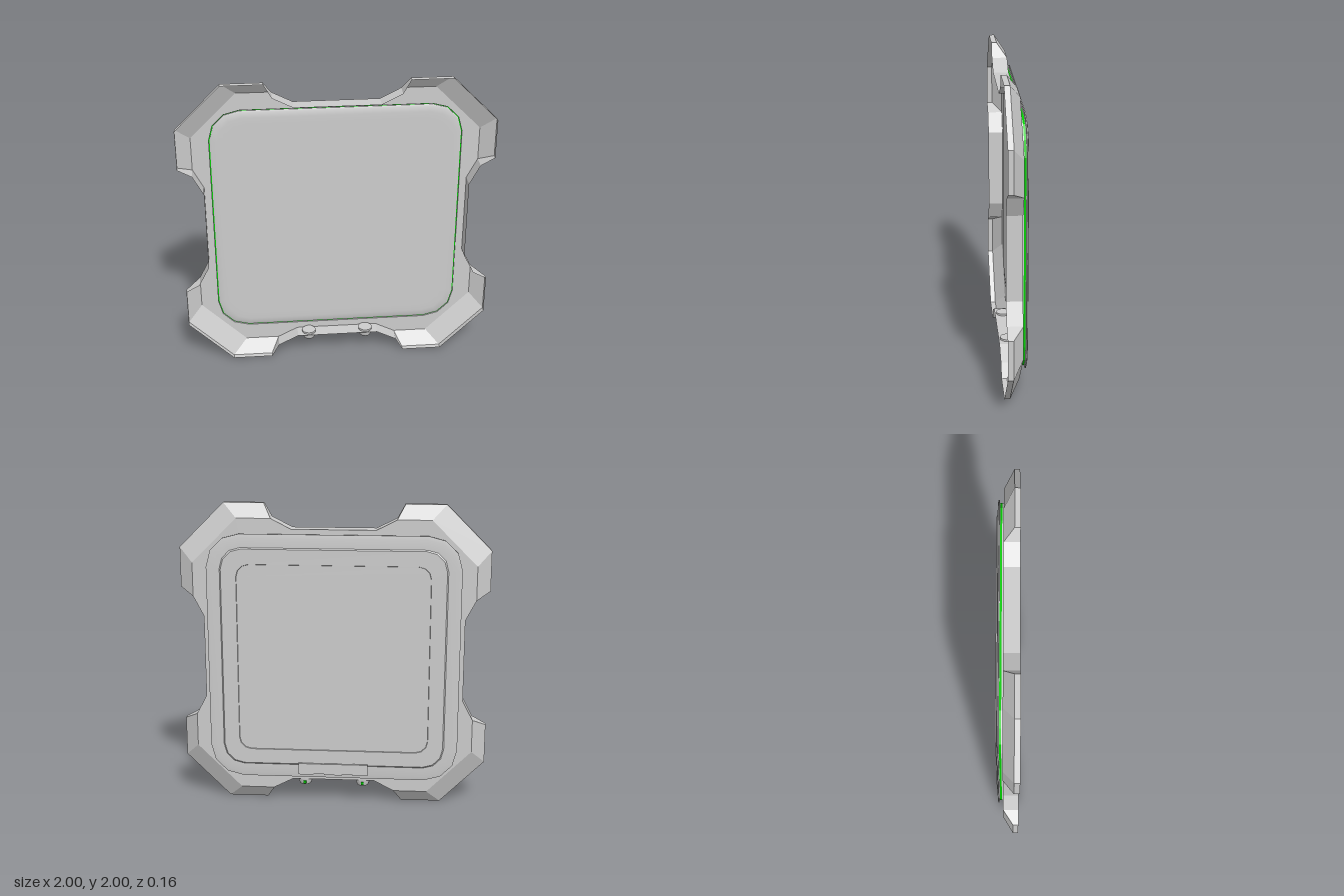
import * as THREE from 'three';
import { toCreasedNormals } from 'three/addons/utils/BufferGeometryUtils.js';

const MID = 1; // height of the centre

// Points of a rounded square, counter-clockwise seen from +z
function roundedSquare(half, radius, segments = 3) {
  const points = [];
  for (let q = 0; q < 4; q++) {
    const cx = (q === 0 || q === 3 ? 1 : -1) * (half - radius);
    const cy = (q < 2 ? 1 : -1) * (half - radius);
    for (let i = 0; i <= segments; i++) {
      const a = (q + i / segments) * Math.PI / 2;
      points.push(new THREE.Vector2(cx + radius * Math.cos(a), cy + radius * Math.sin(a)));
    }
  }
  return points;
}

// Skin between rings running towards -z, with optional end caps
function loft(rings, capStart = false, capEnd = false) {
  const pos = [];
  const add = (ring, i) => {
    const p = ring.points[i % ring.points.length];
    pos.push(p.x, p.y, ring.z);
  };
  for (let r = 0; r < rings.length - 1; r++) {
    const a = rings[r], b = rings[r + 1];
    for (let i = 0; i < a.points.length; i++) {
      add(a, i); add(b, i); add(a, i + 1);
      add(a, i + 1); add(b, i); add(b, i + 1);
    }
  }
  const cap = (ring, flip) => {
    for (let i = 1; i < ring.points.length - 1; i++) {
      add(ring, 0);
      add(ring, flip ? i + 1 : i);
      add(ring, flip ? i : i + 1);
    }
  };
  if (capStart) cap(rings[0], false);
  if (capEnd) cap(rings[rings.length - 1], true);
  const g = new THREE.BufferGeometry();
  g.setAttribute('position', new THREE.Float32BufferAttribute(pos, 3));
  g.computeVertexNormals();
  return g;
}

// Repeat one quadrant of an outline around the centre
function fourfold(quadrant) {
  const points = [];
  for (let q = 0; q < 4; q++) {
    for (const [x, y] of quadrant) {
      points.push(new THREE.Vector2(x, y).rotateAround(new THREE.Vector2(), q * Math.PI / 2));
    }
  }
  return points;
}

export function createModel() {
  const model = new THREE.Group();
  const grey = new THREE.MeshStandardMaterial({ color: 0xcccccc, side: THREE.DoubleSide });
  grey.name = 'grey';
  const green = new THREE.MeshStandardMaterial({ color: 0x00cc00, side: THREE.DoubleSide });
  green.name = 'green';
  const add = (name, geometry, material, x = 0, y = MID, z = 0) => {
    const mesh = new THREE.Mesh(geometry, material);
    mesh.name = name;
    mesh.position.set(x, y, z);
    model.add(mesh);
  };
  const ring = (half, radius, z) => ({ points: roundedSquare(half, radius), z });

  // Open frame shell with four flared corners
  const rim = fourfold([[0.843, 0.27], [0.91, 0.4], [1, 0.45], [1, 0.71],
    [0.71, 1], [0.45, 1], [0.4, 0.91], [0.27, 0.843]]);
  const base = fourfold([[0.843, 0.27], [0.91, 0.4], [0.91, 0.4], [0.91, 0.62],
    [0.62, 0.91], [0.4, 0.91], [0.4, 0.91], [0.27, 0.843]]);
  add('frameWall', loft([
    { points: rim, z: 0.08 }, { points: rim, z: 0.045 }, { points: base, z: -0.02 },
  ]), grey);

  // Flat back of the frame, with the panel opening
  const plate = new THREE.Shape(base.filter((p, i) => i === 0 || !p.equals(base[i - 1])));
  plate.holes.push(new THREE.Path(roundedSquare(0.797, 0.197)));
  add('framePlate', new THREE.ShapeGeometry(plate), grey, 0, MID, -0.02);

  // Grey collar and green seal around the panel
  add('collar', loft([ring(0.797, 0.197, -0.02), ring(0.797, 0.197, -0.029)]), grey);
  add('seal', loft([ring(0.78, 0.18, -0.029), ring(0.797, 0.197, -0.029),
    ring(0.797, 0.197, -0.041)]), green);

  // Front panel with a softened edge
  add('frontPanel', toCreasedNormals(loft([
    ring(0.7, 0.14, -0.016), ring(0.745, 0.16, -0.016),
    ring(0.78, 0.182, -0.019), ring(0.791, 0.191, -0.024), ring(0.791, 0.191, -0.029),
  ], true), 0.6), grey);

  // Rear cover: flange, raised step and sunken centre
  add('rearCover', toCreasedNormals(loft([
    ring(0.797, 0.197, -0.041), ring(0.797, 0.197, -0.044), ring(0.815, 0.215, -0.046),
    ring(0.815, 0.215, -0.053), ring(0.79, 0.19, -0.057), ring(0.728, 0.135, -0.057),
    ring(0.72, 0.13, -0.064), ring(0.622, 0.08, -0.064), ring(0.62, 0.08, -0.059),
  ], false, true), 0.4), grey);

  // Latch on the lower rear edge
  add('latchBase', new THREE.BoxGeometry(0.46, 0.07, 0.025), grey, 0, 0.25, -0.0615);
  for (const x of [-0.18, 0, 0.18]) {
    add('latchKey', new THREE.BoxGeometry(x ? 0.1 : 0.12, 0.076, 0.03), grey, x, 0.25, -0.065);
  }

  // Two knobs under the frame, each with a small mark behind
  const knobProfile = [[0, 0.008], [0.024, 0.008], [0.026, 0], [0.037, 0],
    [0.046, 0.022], [0.046, 0.055], [0, 0.055]].map(([r, y]) => new THREE.Vector2(r, y));
  for (const x of [-0.193, 0.193]) {
    add('knob', toCreasedNormals(new THREE.LatheGeometry(knobProfile, 16), 0.6), grey, x, 0.115, 0.025);
    add('knobMark', new THREE.BoxGeometry(0.018, 0.018, 0.009), green, x, 0.135, -0.022);
  }
  return model;
}
